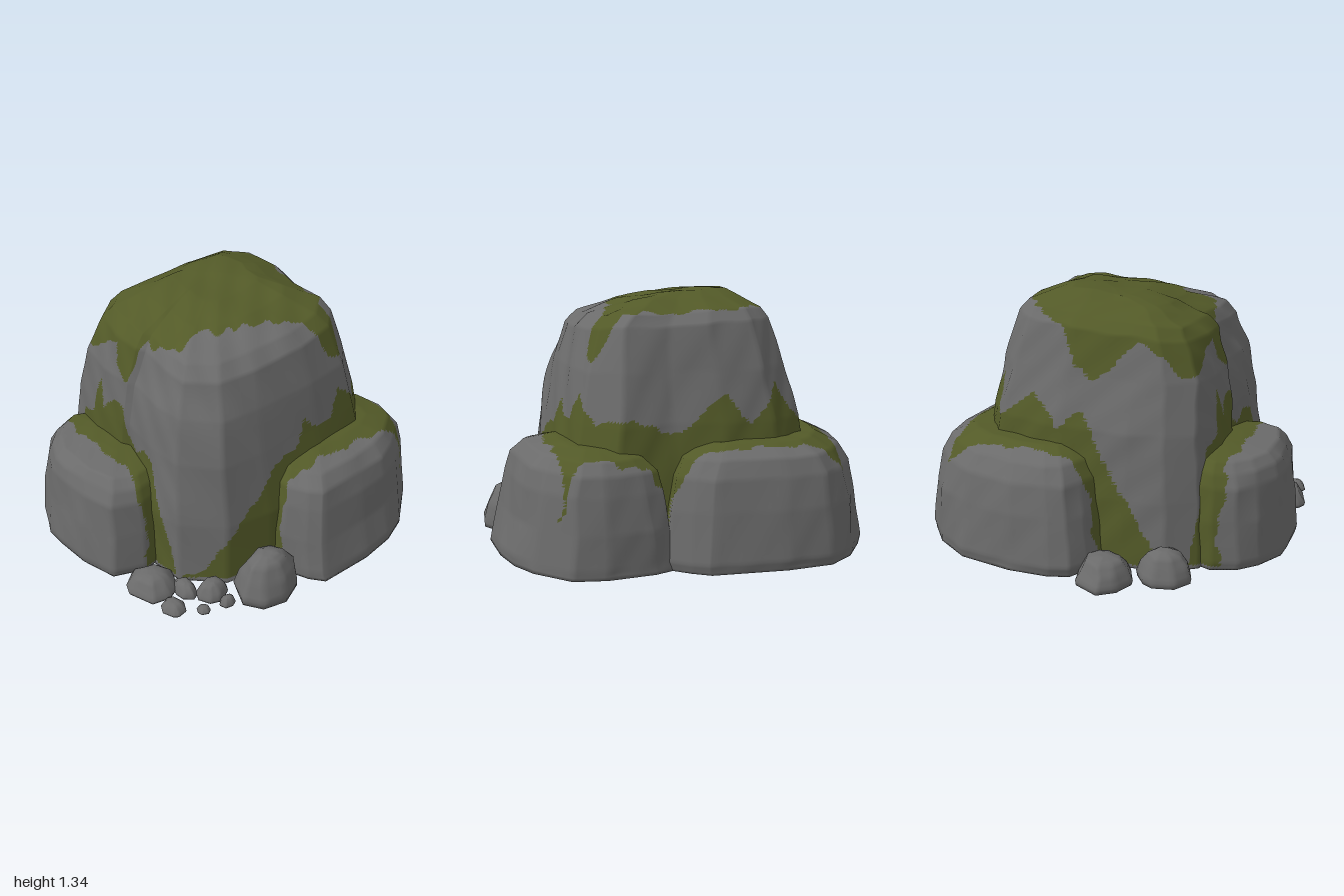
import * as THREE from 'three';

const rock = new THREE.MeshStandardMaterial({ color: 0x6b6b6b });
rock.name = 'grey rock';
const moss = new THREE.MeshStandardMaterial({ color: 0x535a28 });
moss.name = 'green moss';

// seeded random in -1..1
let seed = 7;
const rand = () => {
  seed = (seed * 16807) % 2147483647;
  return (seed / 2147483647) * 2 - 1;
};
const noise = (x, y, z) =>
  (Math.sin(x * 23 + y * 11 + 1) + Math.sin(z * 27 - y * 17 + x * 9) + 0.7 * Math.sin(x * 51 - z * 47 + y * 39)) / 2.7;
const lerp = THREE.MathUtils.lerp;

// piecewise linear lookup in [[key, value], ...]
function lookup(table, k) {
  for (let i = 1; i < table.length; i++) {
    const [a, va] = table[i - 1], [b, vb] = table[i];
    if (k <= b) return lerp(va, vb, (k - a) / (b - a));
  }
  return table[table.length - 1][1];
}

// Chiselled rock: rings of jittered corners, finely subdivided so the facets
// stay flat with soft edges. rings: [[y, corners], ...] from bottom to top.
function makeRock(name, rings, { div = 10, step = 0.015, isMoss = null, warp = null, rough = 0.004 } = {}) {
  const n = rings[0][1].length, cols = n * div, pos = [];
  const addRow = (A, B, t) => {
    for (let c = 0; c < cols; c++) {
      const i = Math.floor(c / div), j = (i + 1) % n, s = (c % div) / div;
      const at = (k) => lerp(lerp(A[1][i][k], A[1][j][k], s), lerp(B[1][i][k], B[1][j][k], s), t);
      let x = at(0), z = at(1), y = lerp(A[0], B[0], t);
      if (y > 0.001) {
        if (warp) y += warp(x, y, z);
        const d = rough * noise(x * 0.6, y * 0.6, z * 0.6);
        x += d; z += d; y += d;
      }
      pos.push(x, Math.max(y, 0), z);
    }
  };
  let rows = 0;
  for (let r = 0; r < rings.length - 1; r++) {
    const A = rings[r], B = rings[r + 1];
    const reach = Math.max(...A[1].map((p, i) => Math.hypot(p[0] - B[1][i][0], p[1] - B[1][i][1], B[0] - A[0])));
    const m = r === 0 ? 3 : Math.max(2, Math.ceil(reach / step));
    for (let k = 0; k < m; k++, rows++) addRow(A, B, k / m);
  }
  const last = rings[rings.length - 1];
  addRow(last, last, 0);

  // sort triangles into rock and moss
  const lists = [[], []];
  const tri = (a, b, c) => {
    const mid = [0, 1, 2].map((k) => (pos[a * 3 + k] + pos[b * 3 + k] + pos[c * 3 + k]) / 3);
    lists[isMoss && mid[1] > 0.02 && isMoss(...mid) ? 1 : 0].push(a, b, c);
  };
  for (let r = 0; r < rows; r++) {
    for (let c = 0; c < cols; c++) {
      const d = (c + 1) % cols;
      const a = r * cols + c, b = r * cols + d, e = a + cols, f = b + cols;
      tri(a, b, f);
      tri(a, f, e);
    }
  }
  const g = new THREE.BufferGeometry();
  g.setAttribute('position', new THREE.Float32BufferAttribute(pos, 3));
  g.setIndex([...lists[0], ...lists[1]]);
  g.addGroup(0, lists[0].length, 0);
  g.addGroup(lists[0].length, lists[1].length, 1);
  g.computeVertexNormals();
  const mesh = new THREE.Mesh(g, isMoss ? [rock, moss] : rock);
  mesh.name = name;
  return mesh;
}

// rings from one outline scaled about a centre: profile [[y, scaleX, scaleZ], ...]
const scaledRings = (outline, [cx, cz], profile, jitter) =>
  profile.map(([y, sx, sz = sx]) => [y, outline.map(([x, z]) => {
    const j = y > 0.03 && sx > 0.1 ? jitter : 0;
    return [cx + (x - cx) * sx + rand() * j, cz + (z - cz) * sz + rand() * j];
  })]);

// ---- moss limits on the main rock, by angle in degrees around it (0 = front)
const lowMoss = [[-180, .72], [-165, .85], [-155, .68], [-140, .88], [-130, .68], [-115, .85], [-100, .68],
  [-90, .8], [-80, .62], [-65, .3], [-55, .05], [-45, 0], [-40, .3], [-33, .6], [-25, .62], [-22, .9], [-17, .72],
  [-12, .78], [-3, .8], [0, .64], [8, .58], [13, .64], [21, .6], [28, .35], [33, .18], [36, 0], [45, .05], [52, .2],
  [65, .42], [78, .62], [90, .64], [98, .78], [105, .7], [115, .72], [122, .86], [135, .7], [150, .75], [165, .66], [180, .72]];
const topMoss = [[-180, 1.25], [-125, 1.25], [-105, 1.18], [-95, 1], [-85, .95], [-75, 1], [-60, 1.15], [-50, 1.08],
  [-43, .97], [-35, .98], [-29, 1.03], [-23, 1.08], [-16, 1.12], [-13, 1], [-5, .96], [-2, .97], [1, 1.17], [8, 1.15],
  [14, 1.2], [27, 1.2], [34, 1.25], [100, 1.26], [117, 1.22], [121, 1.03], [128, 1], [133, 1.1], [138, 1.24], [180, 1.25]];
function mainMoss(x, y, z) {
  const a = THREE.MathUtils.radToDeg(Math.atan2(x - 0.03, z + 0.05));
  const w = noise(x, y, z) * 0.022;
  return y < lookup(lowMoss, a) + w || y > lookup(topMoss, a) + w * 0.8;
}
// moss on the boulders where they lean on the main rock
const boulderMoss = (x, y, z) => {
  const w = noise(x, y, z) * 0.025;
  return x > -0.7 + w && x < 0.75 + w && z > -0.75 + w && z < 0.69 + w;
};

export function createModel() {
  const model = new THREE.Group();
  model.name = 'mossyRocks';

  // tall central rock: unit outline fitted to bounds [y, x0, x1, z0, z1]
  const unit = [[-.78, .93], [-.4, 1], [-.06, .99], [.02, .93], [.4, .99], [.7, .95], [.95, .68], [1, .3], [.97, -.3],
    [.9, -.75], [.65, -.97], [.2, -.95], [-.2, -1], [-.65, -.97], [-.92, -.75], [-1, -.2], [-.97, .4], [-.94, .72]];
  const bounds = [[0, .02, .02, -.05, -.05], [0, -.68, .73, -.75, .64], [.35, -.65, .72, -.72, .62], [.7, -.6, .66, -.66, .59],
    [.95, -.53, .6, -.6, .55], [1.16, -.46, .54, -.54, .49], [1.22, -.41, .47, -.49, .43],
    [1.285, -.3, .28, -.36, .26], [1.315, -.24, .12, -.27, .1], [1.325, -.1, -.1, -.1, -.1]];
  const mainRings = bounds.map(([y, x0, x1, z0, z1]) => [y, unit.map(([u, v]) => {
    const j = y > 0 && x1 - x0 > 0.3 ? 0.012 : 0;
    return [lerp(x0, x1, (u + 1) / 2) + rand() * j, lerp(z0, z1, (v + 1) / 2) + rand() * j];
  })]);
  model.add(makeRock('mainRock', mainRings, {
    div: 12, step: 0.014, isMoss: mainMoss, rough: 0.008,
    warp: (x, y, z) => THREE.MathUtils.smoothstep(y, 0.85, 1.16) * (-0.04 * x - 0.06 * z),
  }));

  // three large boulders around it
  const boulders = [
    ['frontBoulder', [-.08, .55],
      [[-.48, .5], [-.53, .65], [-.48, .78], [-.38, .87], [-.22, .945], [-.1, .945], [.1, .93], [.3, .87], [.36, .7], [.32, .5]],
      [[0, 0], [0, .98], [.04, 1], [.25, .95], [.43, .9], [.5, .84], [.55, .72], [.575, .3], [.58, 0]]],
    ['backRightBoulder', [-.32, -.4],
      [[-.3, .15], [.2, -.3], [.24, -.78], [.14, -.87], [.05, -.93], [-.35, -.95], [-.6, -.92], [-.75, -.8],
        [-.88, -.6], [-.93, -.3], [-.92, -.08], [-.88, .03], [-.78, .08], [-.66, .12]],
      [[0, 0], [0, .98], [.05, 1], [.3, .94], [.46, .88], [.55, .79], [.61, .58], [.62, 0]]],
    ['backLeftBoulder', [.55, -.38],
      [[.5, .12], [.72, .12], [.8, .12], [.93, .06], [1, 0], [.99, -.3], [.95, -.5], [.88, -.65], [.72, -.83],
        [.55, -.86], [.3, -.83], [.18, -.78], [.2, -.3]],
      [[0, 0], [0, 1], [.05, .99, 1], [.22, .9, .98], [.4, .83, .94], [.5, .75, .89], [.565, .6, .78], [.6, .3, .5], [.61, 0]]],
  ];
  for (const [name, centre, outline, profile] of boulders) {
    model.add(makeRock(name, scaledRings(outline, centre, profile, 0.008), { div: 8, step: 0.018, isMoss: boulderMoss }));
  }

  // loose stones: [x, z, radiusX, radiusZ, height]
  const stones = [[-.84, .2, .165, .145, .145], [-.7, .47, .125, .145, .16], [.85, .28, .145, .185, .24],
    [.48, .75, .13, .135, .105], [.68, .755, .07, .065, .05], [.61, .63, .08, .055, .07], [.71, .53, .075, .085, .09],
    [.785, .64, .038, .035, .03], [.815, .51, .038, .045, .05]];
  stones.forEach(([x, z, rx, rz, h], i) => {
    const outline = [];
    for (let k = 0; k < 8; k++) {
      const a = (k + 0.3 * rand()) / 8 * Math.PI * 2, r = 1.02 + 0.05 * rand();
      outline.push([x + Math.sin(a) * rx * r, z + Math.cos(a) * rz * r]);
    }
    const profile = [[0, 0], [0, .96], [.18 * h, 1], [.55 * h, .84], [.88 * h, .58], [h, .25], [h, 0]];
    model.add(makeRock('looseStone' + (i + 1), scaledRings(outline, [x, z], profile, rx * 0.06), { div: 4, step: 0.03, rough: 0.002 }));
  });
  return model;
}
